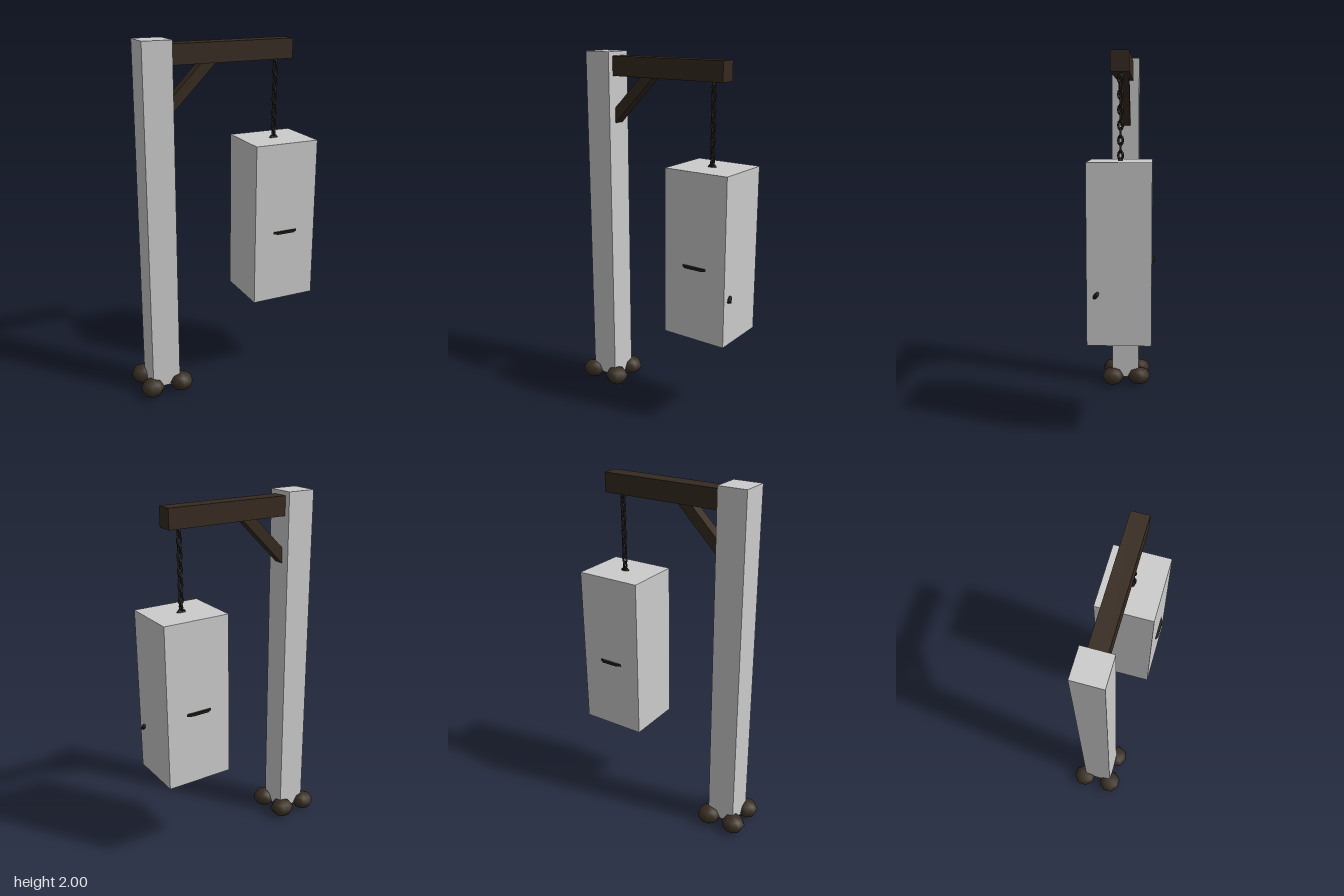
import * as THREE from 'three';

const material = (name, color, extra = {}) => {
  const m = new THREE.MeshStandardMaterial({ color, ...extra });
  m.name = name;
  return m;
};

export function createModel() {
  const group = new THREE.Group();
  const grey = material('pale grey', 0xcccccc);
  const wood = material('dark wood', 0x362a20);
  const stone = material('brown stone', 0x382e23);
  const iron = material('blackened iron', 0x1f1c16);

  const add = (name, geometry, mat, x = 0, y = 0, z = 0) => {
    const mesh = new THREE.Mesh(geometry, mat);
    mesh.name = name;
    mesh.position.set(x, y, z);
    group.add(mesh);
    return mesh;
  };
  // Box given by its lower and upper corners
  const addBox = (name, mat, a, b) =>
    add(name, new THREE.BoxGeometry(b[0] - a[0], b[1] - a[1], b[2] - a[2]), mat,
      (a[0] + b[0]) / 2, (a[1] + b[1]) / 2, (a[2] + b[2]) / 2);

  // Upright, arm and hanging block
  addBox('post', grey, [-0.462, 0.05, -0.081], [-0.3, 2, 0.081]);
  addBox('beam', wood, [-0.32, 1.87, -0.047], [0.405, 1.977, 0.047]);
  addBox('hangingBlock', grey, [0.137, 0.508, -0.163], [0.514, 1.431, 0.163]);

  // Diagonal brace under the arm
  const brace = new THREE.Shape([[-0.305, 1.605], [-0.04, 1.87], [-0.125, 1.87], [-0.305, 1.69]]
    .map(([x, y]) => new THREE.Vector2(x, y)));
  add('brace', new THREE.ExtrudeGeometry(brace, { depth: 0.06, bevelEnabled: false }), wood, 0, 0, -0.03);

  // Chain of alternating links
  const chainX = 0.325;
  const link = new THREE.TorusGeometry(0.012, 0.006, 6, 10);
  link.scale(1, 1.65, 1);
  for (let i = 0; i < 12; i++) {
    const mesh = add('chainLink', link, iron, chainX, 1.842 - i * 0.0385, 0);
    mesh.rotation.y = i % 2 ? 0 : Math.PI / 2;
  }
  const cap = add('chainMount', new THREE.CylinderGeometry(0.018, 0.03, 0.016, 8), iron, chainX, 1.436, 0);
  cap.scale.z = 0.5;

  // Iron hoop showing at the front and back of the block
  const hoop = new THREE.CylinderGeometry(0.184, 0.184, 0.014, 12);
  hoop.rotateY(Math.PI / 12);
  add('hoop', hoop, iron, chainX, 0.918, 0);

  // Small stud below the block
  add('bottomStud', new THREE.CylinderGeometry(0.012, 0.008, 0.012, 8), iron, chainX, 0.507, 0);

  // Small hooked piece on the left side of the block
  const hook = add('sideHook', new THREE.SphereGeometry(1, 7, 5), iron, 0.517, 0.768, 0.115);
  hook.scale.set(0.014, 0.022, 0.012);
  hook.rotation.x = -0.6;
  const tip = add('sideHookTip', new THREE.SphereGeometry(1, 6, 4), iron, 0.526, 0.758, 0.12);
  tip.scale.set(0.01, 0.006, 0.009);

  // Stones round the foot: x, z, half width, half depth, turn, tilt
  [
    [-0.469, -0.087, 0.069, 0.068, 0.3, 0.05],
    [-0.309, -0.085, 0.071, 0.072, 1.1, -0.06],
    [-0.468, 0.082, 0.069, 0.067, 2.0, 0.04],
    [-0.291, 0.078, 0.071, 0.069, 0.7, -0.08],
  ].forEach(([x, z, w, d, turn, tilt]) => {
    const geo = new THREE.SphereGeometry(1, 8, 4);
    geo.rotateY(turn);
    geo.scale(w, 0.052, d);
    geo.rotateZ(tilt);
    add('footStone', geo, stone, x, 0.056, z);
  });

  return group;
}
